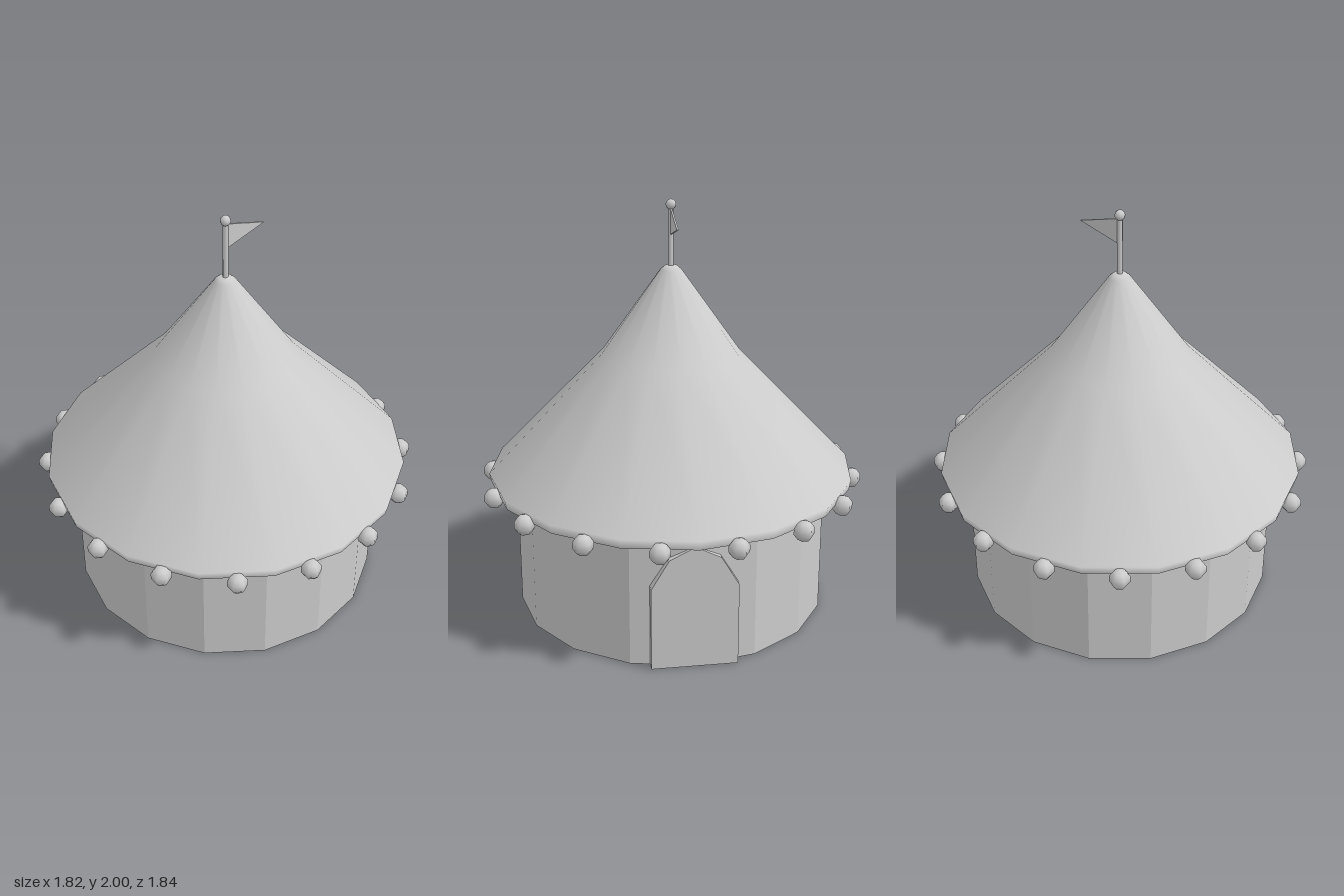
import * as THREE from 'three';

export function createModel() {
  const model = new THREE.Group();
  const grey = new THREE.MeshStandardMaterial({ color: 0xcccccc });
  grey.name = 'light grey';
  const greyDouble = grey;
  greyDouble.side = THREE.DoubleSide;

  const add = (name, geometry, x = 0, y = 0, z = 0, parent = model) => {
    const mesh = new THREE.Mesh(geometry, grey);
    mesh.name = name;
    mesh.position.set(x, y, z);
    parent.add(mesh);
    return mesh;
  };
  const polygon = (points) => new THREE.Shape(points.map(([x, y]) => new THREE.Vector2(x, y)));

  // Round wall with 16 flat facets, open at the bottom
  const wall = new THREE.CylinderGeometry(0.757, 0.757, 0.64, 16, 1, true).toNonIndexed();
  wall.computeVertexNormals();
  add('wall', wall, 0, 0.32, 0);

  // Tent roof with a bent slope and a short rim
  const profile = [[0.88, 0.64], [0.89, 0.685], [0.335, 1.265], [0.05, 1.67], [0.03, 1.687], [0, 1.69]];
  add('roof', new THREE.LatheGeometry(profile.map(([r, y]) => new THREE.Vector2(r, y)), 16));

  // Flat underside of the eaves, which is also the ceiling
  add('roofUnderside', new THREE.CircleGeometry(0.88, 16), 0, 0.64, 0).rotation.x = Math.PI / 2;

  // Arched door on the +x side
  const doorShape = polygon([[-0.2, 0], [0.2, 0], [0.2, 0.4], [0.117, 0.54], [0, 0.598], [-0.117, 0.54], [-0.2, 0.4]]);
  const door = new THREE.ExtrudeGeometry(doorShape, { depth: 0.053, bevelEnabled: false });
  add('door', door, 0.711, 0, 0).rotation.y = Math.PI / 2;

  // Bobbles hanging at the middle of each eave edge
  const bobbles = new THREE.Group();
  bobbles.name = 'eaveBobbles';
  model.add(bobbles);
  const bobble = new THREE.SphereGeometry(0.05, 6, 5).rotateY(Math.PI / 2);
  for (let i = 0; i < 16; i++) {
    const a = ((i + 0.5) / 16) * Math.PI * 2;
    add('bobble', bobble, 0.888 * Math.sin(a), 0.632, 0.888 * Math.cos(a), bobbles);
  }

  // Flagpole with a ball on top and a pennant
  add('flagpole', new THREE.CylinderGeometry(0.013, 0.013, 0.29, 8), 0, 1.82, 0);
  add('poleBall', new THREE.SphereGeometry(0.025, 8, 6), 0, 1.975, 0);
  const pennant = polygon([[0.008, 1.835], [0.215, 1.897], [0.008, 1.957]]);
  add('pennant', new THREE.ExtrudeGeometry(pennant, { depth: 0.008, bevelEnabled: false }), 0, 0, -0.004);

  return model;
}
